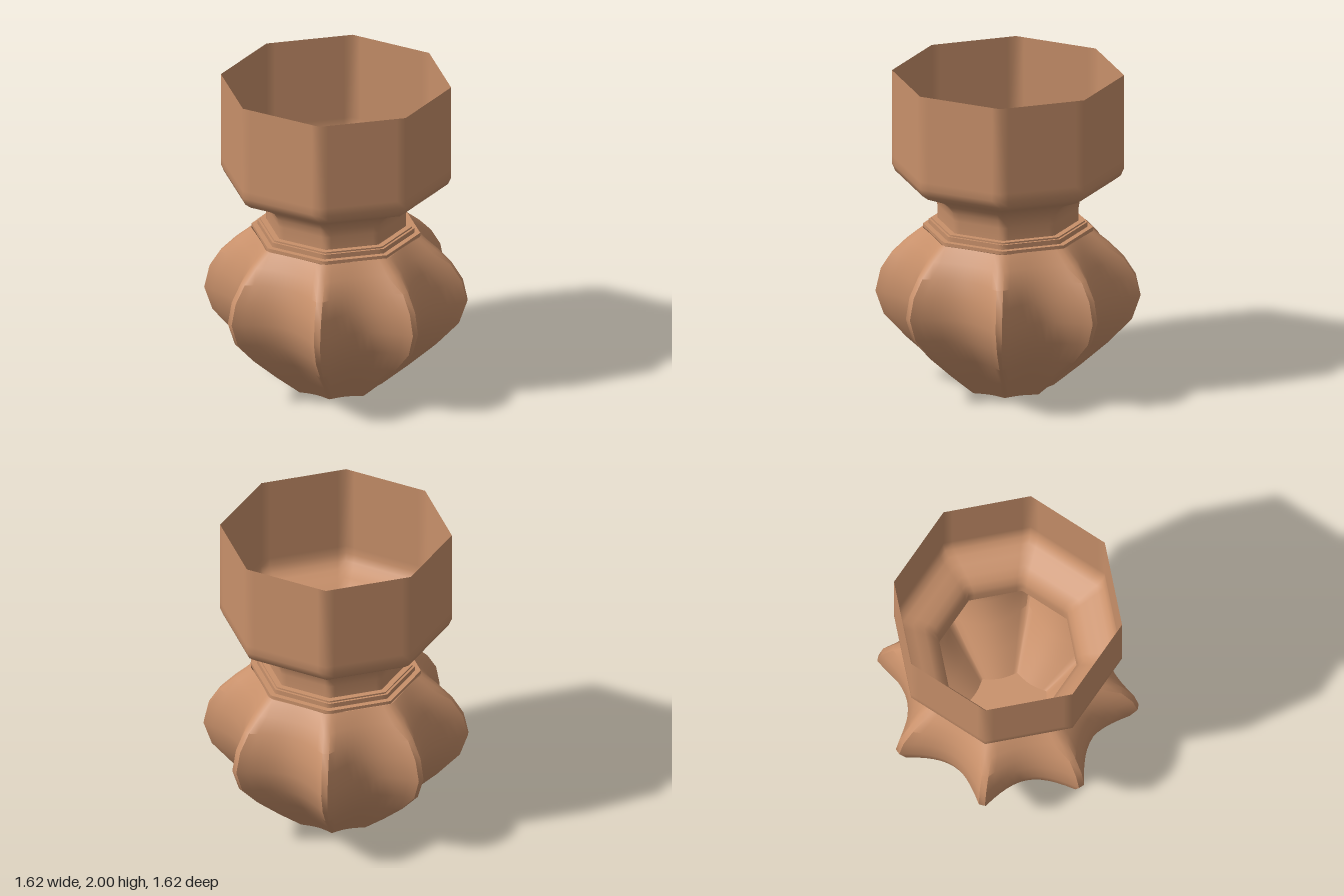
import * as THREE from 'three';
import { toCreasedNormals } from 'three/addons/utils/BufferGeometryUtils.js';

const SIDES = 8;
const STEP = (Math.PI * 2) / SIDES;
const clay = new THREE.MeshStandardMaterial({ color: 0xc8906a, side: THREE.DoubleSide });
clay.name = 'terracotta clay';

// Repeat one sector of [x, z] points (starting at +z) around the axis
function around(sector) {
  const ring = [];
  for (let s = 0; s < SIDES; s++) {
    const c = Math.cos(s * STEP), n = Math.sin(s * STEP);
    for (const [x, z] of sector) ring.push([x * c + z * n, z * c - x * n]);
  }
  return ring;
}

// Skin a stack of { y, ring } cross-sections, creasing edges sharper than the angle
function loft(sections, creaseDegrees) {
  const pos = [], idx = [], n = sections[0].ring.length;
  for (const { y, ring } of sections) for (const [x, z] of ring) pos.push(x * 100, y * 100, z * 100);
  for (let j = 0; j < sections.length - 1; j++) {
    for (let i = 0; i < n; i++) {
      const a = j * n + i, b = j * n + ((i + 1) % n);
      idx.push(a, b, a + n, b, b + n, a + n);
    }
  }
  const g = new THREE.BufferGeometry();
  g.setAttribute('position', new THREE.Float32BufferAttribute(pos, 3));
  g.setIndex(idx);
  // creased at a large scale so that thin steps stay distinct
  return toCreasedNormals(g, THREE.MathUtils.degToRad(creaseDegrees)).scale(0.01, 0.01, 0.01);
}

// Octagon with support points beside each corner, for softly shaded corners
function octagon(r) {
  const next = [r * Math.sin(STEP), r * Math.cos(STEP)];
  return around([0, 0.1, 0.9].map(t => [next[0] * t, r + (next[1] - r) * t]));
}

// Eight-pointed ribbed section: blunt tips of half width w, rounded valleys
function star(r, valley, w) {
  const at = (x, z) => new THREE.Vector2(x, z);
  const p0 = at(w, r);
  const p3 = at(r * Math.sin(STEP) - w * Math.cos(STEP), r * Math.cos(STEP) + w * Math.sin(STEP));
  const c = at(Math.sin(STEP / 2), Math.cos(STEP / 2)).multiplyScalar(r * valley);
  const curve = new THREE.CubicBezierCurve(p0, p0.clone().lerp(c, 0.8), p3.clone().lerp(c, 0.8), p3);
  return around(curve.getPoints(12).map(p => [p.x, p.y]));
}

export function createModel() {
  const model = new THREE.Group();
  const add = (name, geometry) => {
    const mesh = new THREE.Mesh(geometry, clay);
    mesh.name = name;
    model.add(mesh);
  };

  // Ribbed belly: height, tip radius, valley depth, tip half width
  const belly = [
    [0, 0.28, 0.83, 0.004], [0.14, 0.45, 0.78, 0.006], [0.29, 0.62, 0.72, 0.009],
    [0.44, 0.76, 0.68, 0.014], [0.585, 0.81, 0.67, 0.019], [0.72, 0.78, 0.7, 0.02],
    [0.83, 0.71, 0.76, 0.02], [0.92, 0.62, 0.84, 0.02], [1, 0.52, 0.924, 0.02],
  ].map(([y, r, v, w]) => ({ y, ring: star(r, v, w) }));
  add('ribbedBelly', loft(belly, 40));

  // Floor closing the foot of the belly
  const foot = new THREE.Shape(belly[0].ring.map(([x, z]) => new THREE.Vector2(x, z)));
  add('floor', new THREE.ShapeGeometry(foot).rotateX(-Math.PI / 2));

  // Stepped collar between belly and neck
  const collar = [[0.52, 1], [0.52, 1.02], [0.485, 1.02], [0.485, 1.05], [0.47, 1.05], [0.47, 1.06], [0.432, 1.06]];
  add('steppedCollar', loft(collar.map(([r, y]) => ({ y, ring: octagon(r) })), 60));

  // Neck flaring into the open octagonal cup
  const cup = [
    [0.432, 1.06], [0.432, 1.14], [0.44, 1.19], [0.47, 1.235], [0.52, 1.27], [0.59, 1.3],
    [0.65, 1.325], [0.69, 1.355], [0.71, 1.4], [0.71, 1.45], [0.71, 2],
  ];
  add('neckAndCup', loft(cup.map(([r, y]) => ({ y, ring: octagon(r) })), 60));

  return model;
}
